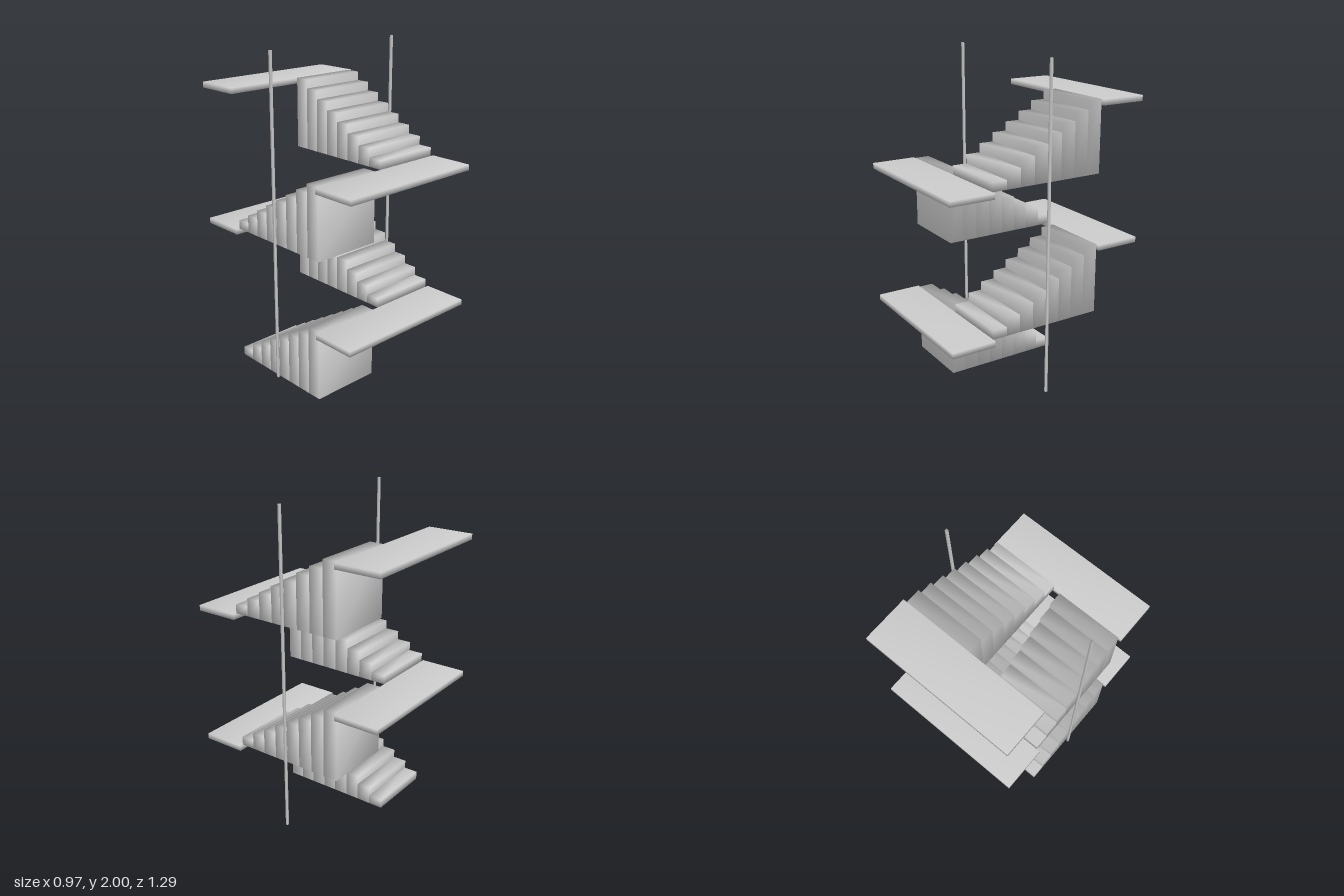
import * as THREE from 'three';
import { mergeVertices } from 'three/addons/utils/BufferGeometryUtils.js';

const material = new THREE.MeshStandardMaterial({ color: 0xcccccc });

// Box given by its limits, with corners welded so the shading runs smoothly over the edges.
function softBox(name, [x0, x1], [y0, y1], [z0, z1]) {
  let geometry = new THREE.BoxGeometry(x1 - x0, y1 - y0, z1 - z0);
  geometry.deleteAttribute('normal');
  geometry.deleteAttribute('uv');
  geometry = mergeVertices(geometry);
  geometry.computeVertexNormals();
  const mesh = new THREE.Mesh(geometry, material);
  mesh.name = name;
  mesh.position.set((x0 + x1) / 2, (y0 + y1) / 2, (z0 + z1) / 2);
  return mesh;
}

const FLIGHTS = 4;
const STEPS = 8;
const RISE = 0.0545;
const BACK = -0.358;
const FRONT = 0.368;
const TREAD = (FRONT - BACK) / STEPS;
const END = 0.645;
const SLAB = 0.035;

export function createModel() {
  const model = new THREE.Group();
  model.name = 'switchbackStaircase';

  for (let f = 0; f < FLIGHTS; f++) {
    const forward = f % 2 === 0;
    const base = f * STEPS * RISE;
    const top = base + STEPS * RISE;

    // Flight of solid steps, alternately climbing to the front and to the back
    const flight = new THREE.Group();
    flight.name = `flight${f + 1}`;
    const xRange = forward ? [-0.461, -0.024] : [0.02, 0.458];
    for (let i = 0; i < STEPS; i++) {
      const z = forward ? BACK + i * TREAD : FRONT - (i + 1) * TREAD;
      flight.add(softBox(`step${i + 1}`, xRange, [base, base + (i + 1) * RISE], [z, z + TREAD]));
    }
    model.add(flight);

    // Landing at the head of the flight
    const zRange = forward ? [FRONT, END] : [-END, BACK];
    model.add(softBox(`landing${f + 1}`, [-0.482, 0.482], [top - SLAB, top], zRange));
  }

  // Slim full-height posts beside the flights
  for (const [name, x] of [['leftPost', 0.473], ['rightPost', -0.476]]) {
    model.add(softBox(name, [x - 0.007, x + 0.007], [0, 2], [-0.001, 0.013]));
  }
  return model;
}
